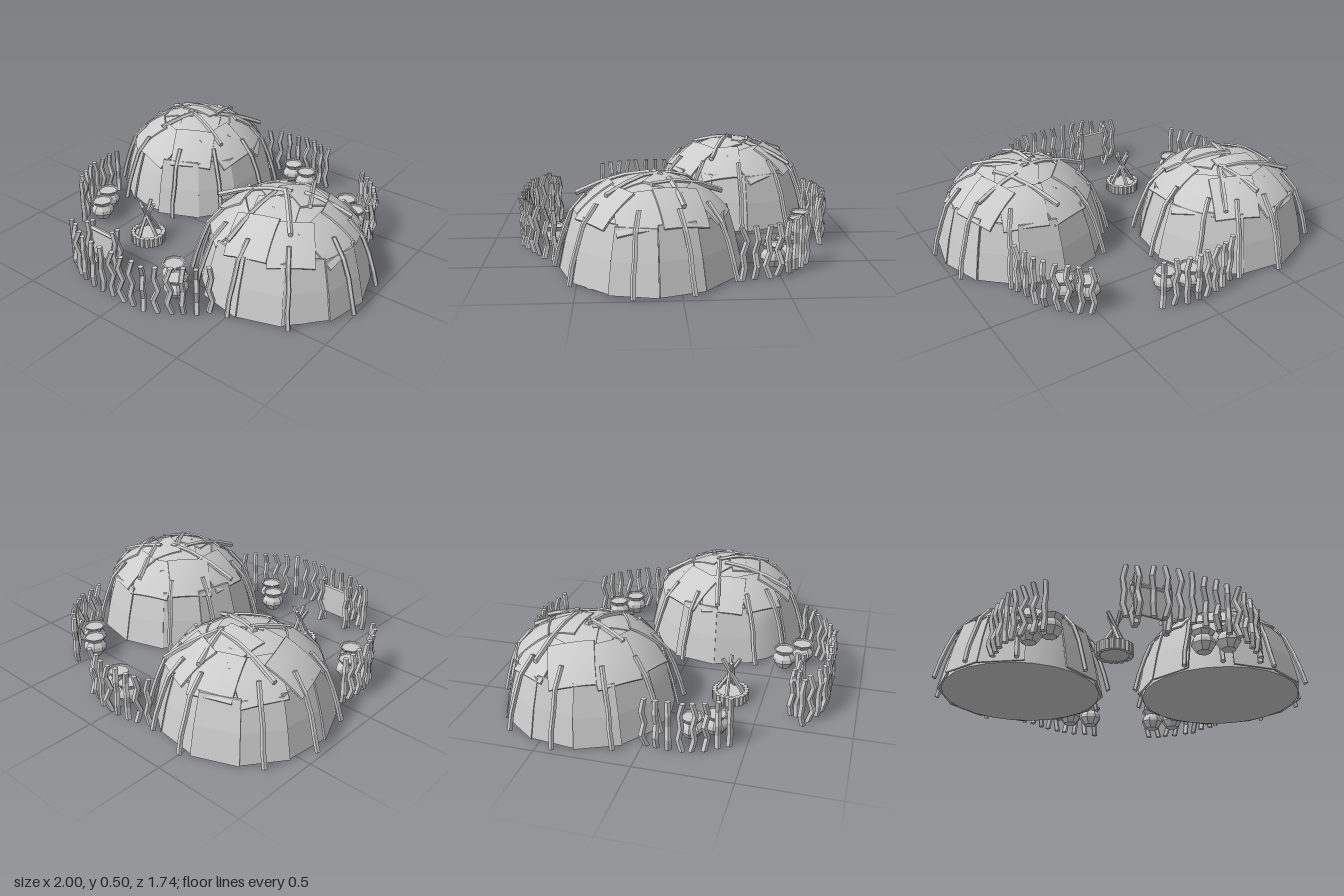
import * as THREE from 'three';
import { toCreasedNormals } from 'three/addons/utils/BufferGeometryUtils.js';

const flat = new THREE.MeshStandardMaterial({ color: 0xcccccc, flatShading: true });
const smooth = new THREE.MeshStandardMaterial({ color: 0xcccccc });
const V = (x, y, z) => new THREE.Vector3(x, y, z);

let seed = 7;
const rand = () => (seed = (seed * 16807) % 2147483647) / 2147483647;

function add(parent, name, geo, mat = flat) {
  const mesh = new THREE.Mesh(geo, mat);
  mesh.name = name;
  parent.add(mesh);
  return mesh;
}

// Move every vertex of a geometry by a rule
function warp(geo, rule) {
  const p = geo.attributes.position;
  for (let i = 0; i < p.count; i++) {
    const v = rule(p.getX(i), p.getY(i), p.getZ(i));
    p.setXYZ(i, v.x, v.y, v.z);
  }
  geo.computeVertexNormals();
  return geo;
}

// Five-sided capped branch through a list of points
function stick(pts, r) {
  const n = pts.length - 1;
  const dir = pts[n].clone().sub(pts[0]).normalize();
  const q = new THREE.Quaternion().setFromUnitVectors(V(0, 1, 0), dir);
  return warp(new THREE.CylinderGeometry(r * 0.9, r, 1, 5, n), (x, y, z) =>
    V(x, 0, z).applyQuaternion(q).add(pts[Math.round((y + 0.5) * n)]));
}

// Crooked upright post, bent differently each time
function post(parent, name, x, z) {
  const a = rand() * 6.28, pts = [];
  for (let i = 0; i <= 4; i++) {
    const b = (i % 2 ? 1 : -1) * (0.002 + rand() * 0.013);
    pts.push(V(x + Math.cos(a) * b, 0.0675 * i, z + Math.sin(a) * b));
  }
  add(parent, name, stick(pts, 0.017));
}

// Dome outline: radius, height
const dome = [[0.44, 0], [0.4, 0.2], [0.36, 0.3], [0.315, 0.35], [0.245, 0.4], [0.13, 0.443], [0, 0.46]];

function makeHut(name, x, z, doorAngle, poleAngles, roofSticks) {
  const hut = new THREE.Group();
  hut.name = name;
  hut.position.set(x, 0, z);

  // Solid dome with closed floor
  const profile = [[0, 0], ...dome].map(p => new THREE.Vector2(...p));
  add(hut, 'domeShell', toCreasedNormals(new THREE.LatheGeometry(profile, 24), 0.6), smooth);

  // Wall hides, one left out for the doorway
  const count = 12, step = Math.PI * 2 / count;
  for (let i = 1; i < count; i++) {
    const a = doorAngle + i * step, lift = (i % 3) * 0.005, top = 0.3 + rand() * 0.025;
    const w = step * (0.96 + rand() * 0.12);
    add(hut, 'wallHide', warp(new THREE.BoxGeometry(1, 1, 0.012, 1, 2, 1), (u, v, d) => {
      const t = v + 0.5, r = 0.453 + lift - 0.055 * t - 0.025 * t * t + d, b = a - u * w;
      return V(Math.cos(b) * r, 0.005 + t * top, Math.sin(b) * r);
    }));
  }

  // Roof hides: stiff, slightly curled squares lying on the slope
  const hide = (a, r, y, slope, size, turn) => {
    const geo = warp(new THREE.BoxGeometry(size, 0.01, size, 4, 1, 4),
      (u, h, w) => V(u, h - 0.8 * (u * u + w * w), w));
    const plate = add(hut, 'roofHide', toCreasedNormals(geo, 0.7), smooth);
    plate.rotation.set(0, -a, -slope);
    plate.rotateY(turn);
    plate.position.set(Math.cos(a) * r, y, Math.sin(a) * r);
  };
  for (let i = 0; i < 9; i++) {
    const a = doorAngle + i * Math.PI * 2 / 9;
    hide(a, 0.302, 0.376 + (i % 3) * 0.006, 0.68, 0.235, (rand() - 0.5) * 0.6);
  }
  for (let i = 0; i < 5; i++) {
    const a = doorAngle + 0.4 + i * Math.PI * 2 / 5;
    hide(a, 0.13, 0.453 + (i % 3) * 0.004, 0.25, 0.23, (rand() - 0.5) * 1.2);
  }

  // Slightly crooked poles holding the walls down
  for (const deg of poleAngles) {
    const a = deg * Math.PI / 180;
    const pts = [[0.493, 0.006], [0.47, 0.1], [0.438, 0.2], [0.4, 0.295], [0.325, 0.385]]
      .map(([r, y], i) => {
        const b = a + (i % 2 ? 0.006 : -0.004);
        return V(Math.cos(b) * r, y, Math.sin(b) * r);
      });
    add(hut, 'wallPole', stick(pts, 0.014));
  }

  // Branches resting along the roof curve
  for (const [x0, z0, x1, z1] of roofSticks) {
    const pts = [0, 1 / 3, 2 / 3, 1].map(t => {
      const px = x0 + (x1 - x0) * t, pz = z0 + (z1 - z0) * t, r = Math.hypot(px, pz);
      return V(px, 0.486 - 0.08 * r - 0.57 * r * r, pz);
    });
    add(hut, 'roofBranch', stick(pts, 0.015));
  }
  return hut;
}

// Eight-sided pot with a pinched neck and a shallow lidded mouth
function makePot(x, z) {
  const pts = [[0, 0.02], [0.038, 0.02], [0.065, 0.06], [0.062, 0.082], [0.044, 0.106],
    [0.064, 0.132], [0.055, 0.132], [0.052, 0.124], [0, 0.124]].map(p => new THREE.Vector2(...p));
  const geo = new THREE.LatheGeometry(pts, 8);
  geo.translate(x, 0, z);
  return geo;
}

function makeFire(x, z) {
  const fire = new THREE.Group();
  fire.name = 'campfire';
  fire.position.set(x, 0, z);
  add(fire, 'ashBed', new THREE.CylinderGeometry(0.09, 0.08, 0.04, 20)).position.y = 0.025;
  for (let i = 0; i < 20; i++) {
    const a = i * Math.PI / 10;
    const stone = add(fire, 'hearthStone', new THREE.CylinderGeometry(0.015, 0.014, 0.055, 6));
    stone.position.set(Math.cos(a) * 0.086, 0.0285, Math.sin(a) * 0.086);
  }
  // Logs leaning together and crossing near the top
  for (let i = 0; i < 4; i++) {
    const c = Math.cos(i * Math.PI / 2), s = Math.sin(i * Math.PI / 2);
    const pts = [[0.075, 0.04], [0.02, 0.13], [-0.045, 0.24]]
      .map(([r, y]) => V(c * r - s * 0.008, y, s * r + c * 0.008));
    add(fire, 'fireLog', stick(pts, 0.012));
  }
  return fire;
}

function makeRack() {
  const rack = new THREE.Group();
  rack.name = 'hideRack';
  for (const x of [-0.365, -0.185]) for (const z of [0.667, 0.697]) post(rack, 'rackPost', x, z);
  add(rack, 'rackBeam', stick([V(-0.385, 0.225, 0.676), V(-0.165, 0.225, 0.685)], 0.014));
  const hide = add(rack, 'stretchedHide', new THREE.BoxGeometry(0.16, 0.16, 0.012));
  hide.position.set(-0.275, 0.145, 0.68);
  hide.rotation.y = -0.04;
  return rack;
}

export function createModel() {
  const model = new THREE.Group();
  model.name = 'camp';

  model.add(makeHut('leftBackHut', -0.485, -0.38, 1.69,
    [-3, 35, 70, 116, 149, 184, 218, 268, 296, 322],
    [[-0.32, -0.16, 0.09, -0.09], [0.02, -0.31, 0.09, -0.07], [-0.05, 0.01, 0.29, 0.14],
      [-0.1, 0.22, -0.01, 0.02], [0.1, -0.09, 0.24, -0.33]]));
  model.add(makeHut('rightFrontHut', 0.515, 0.135, 2.3,
    [11, -23, -57, -129, -161, 148, 124, 91, 54],
    [[-0.41, 0.03, 0, -0.05], [-0.05, -0.36, 0.14, 0], [-0.09, 0.38, -0.07, 0],
      [-0.04, -0.05, 0.17, 0.22], [0.05, -0.09, 0.3, -0.15]]));

  // Four curved runs of fence: number of posts and control points (x, z)
  const fences = [
    [8, [[-0.22, -0.8], [-0.1, -0.835], [0, -0.855], [0.1, -0.84], [0.2, -0.8]]],
    [8, [[0.52, -0.67], [0.63, -0.58], [0.71, -0.48], [0.755, -0.31]]],
    [8, [[-0.82, 0.01], [-0.825, 0.13], [-0.8, 0.26], [-0.71, 0.415]]],
    [15, [[-0.455, 0.73], [-0.3, 0.82], [-0.1, 0.835], [0.1, 0.83], [0.28, 0.755], [0.41, 0.635]]],
  ];
  for (const [n, pts] of fences) {
    const curve = new THREE.CatmullRomCurve3(pts.map(([x, z]) => V(x, 0, z)));
    for (const p of curve.getSpacedPoints(n - 1)) post(model, 'fencePost', p.x, p.z);
  }

  const pots = [[0, -0.74], [0.12, -0.7], [0.49, -0.56], [0.59, -0.48],
    [-0.7, 0.22], [-0.64, 0.33], [0.11, 0.56], [0.2, 0.65]];
  for (const [x, z] of pots) add(model, 'clayPot', makePot(x, z));

  model.add(makeFire(-0.28, 0.33));
  model.add(makeRack());
  return model;
}
